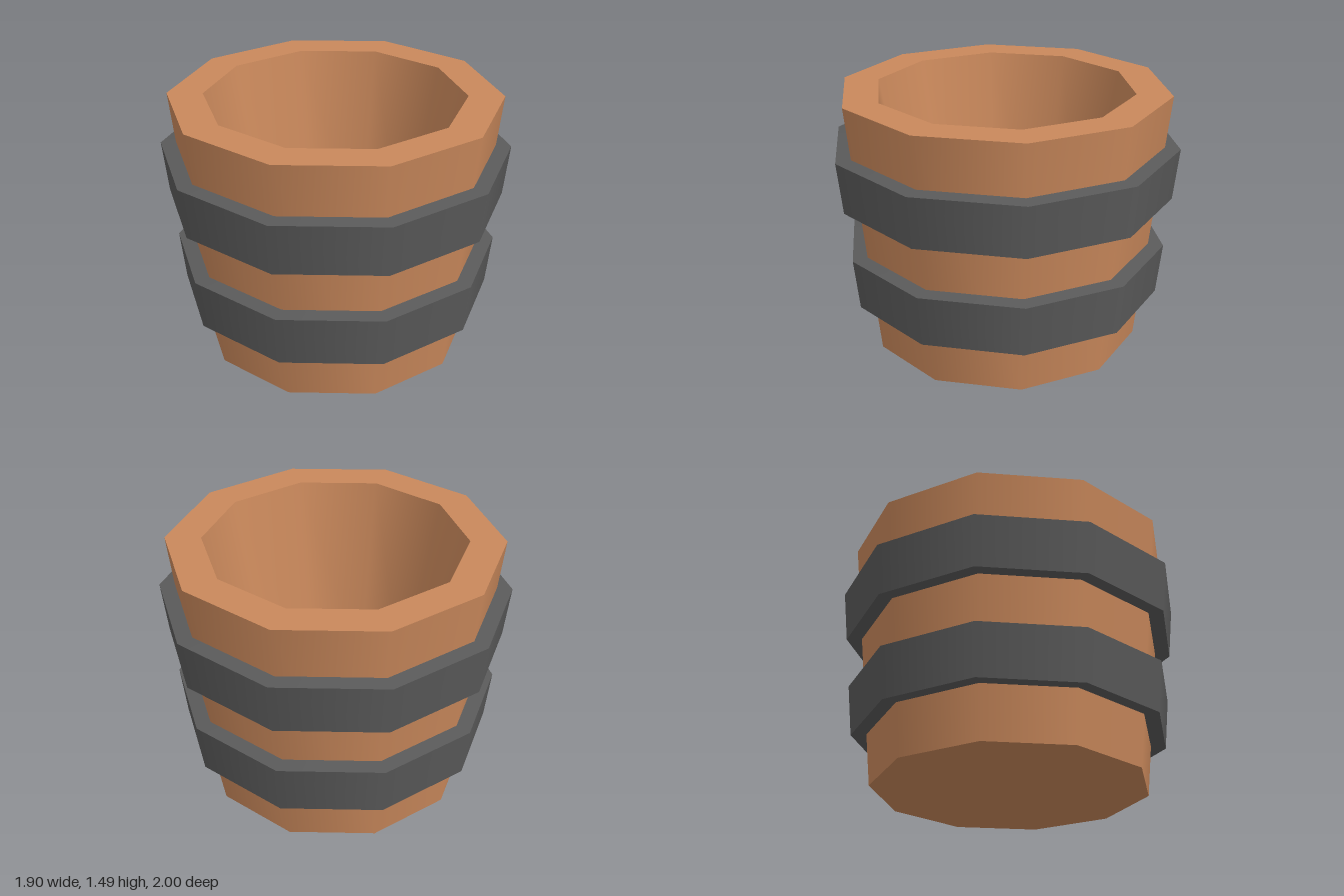
import * as THREE from 'three';
import { mergeGeometries } from 'three/addons/utils/BufferGeometryUtils.js';

const SIDES = 10;

// Ten-sided ring per profile segment: smooth around, sharp between segments
function turned(name, profile, material) {
  const pts = profile.map(([r, y]) => new THREE.Vector2(r, y));
  const rings = pts.slice(1).map((p, i) => new THREE.LatheGeometry([pts[i], p], SIDES));
  const mesh = new THREE.Mesh(mergeGeometries(rings), material);
  mesh.name = name;
  return mesh;
}

export function createModel() {
  const wood = new THREE.MeshStandardMaterial({ color: 0xc9885b });
  wood.name = 'wood';
  const iron = new THREE.MeshStandardMaterial({ color: 0x5a5a5a });
  iron.name = 'iron';

  const group = new THREE.Group();
  group.name = 'bucket';

  // Tapered bucket: underside, outer wall, rim, inner wall, inner floor
  group.add(turned('bucketBody', [
    [0, 0], [0.79, 0], [0.943, 1.493], [0.74, 1.493], [0.51, 0.3], [0, 0.3],
  ], wood));

  // Two hoops standing square to the sloping wall
  const wallRadius = (y) => 0.79 + 0.1025 * y;
  const hoops = [['lowerHoop', 0.3, 0.598], ['upperHoop', 0.898, 1.196]];
  for (const [name, low, high] of hoops) {
    group.add(turned(name, [
      [wallRadius(low), low],
      [wallRadius(low) + 0.088, low - 0.008],
      [wallRadius(high) + 0.088, high - 0.008],
      [wallRadius(high), high],
    ], iron));
  }
  return group;
}
